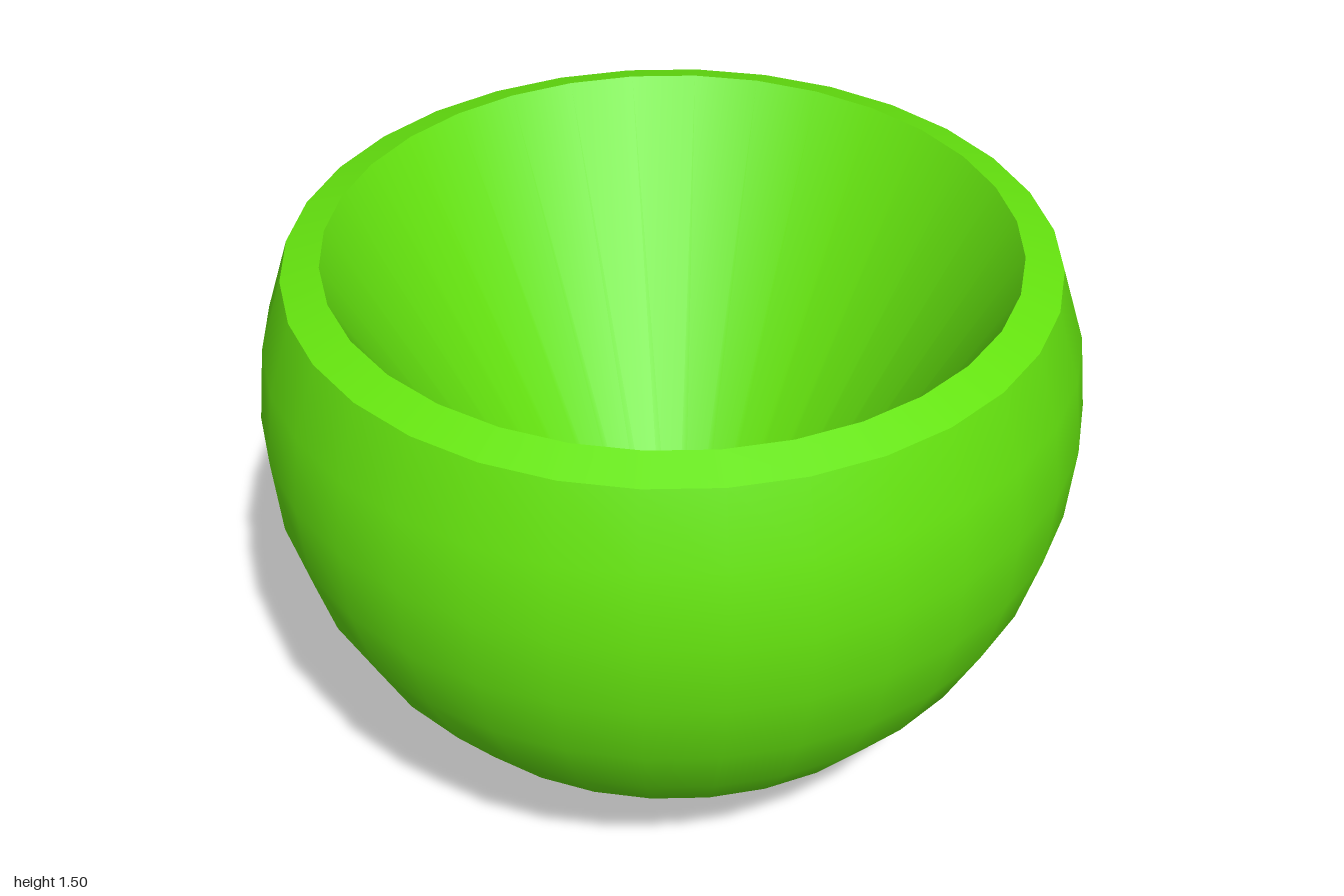
import * as THREE from 'three';

const SEGMENTS = 32;
const CENTRE_Y = 1.08;

export function createModel() {
  const group = new THREE.Group();
  group.name = 'pointedCup';
  const material = new THREE.MeshStandardMaterial({ color: 0x66e60f });

  // Each part is its own lathe, so edges between parts stay sharp
  const addLathe = (name, points) => {
    const profile = points.map(([r, y]) => new THREE.Vector2(r, y));
    const mesh = new THREE.Mesh(new THREE.LatheGeometry(profile, SEGMENTS), material);
    mesh.name = name;
    group.add(mesh);
  };

  // Outer shell: unit sphere from the bottom pole to 22.5 degrees above the equator
  const shell = [];
  for (let i = 0; i <= 10; i++) {
    const a = -Math.PI / 2 + (i * Math.PI) / 16;
    shell.push([Math.max(0, Math.cos(a)), CENTRE_Y + Math.sin(a)]);
  }
  addLathe('outerShell', shell);

  // Sloping rim
  addLathe('rim', [[shell[10][0], shell[10][1]], [0.83, 1.495]]);

  // Funnel-shaped hollow with a small flat floor
  addLathe('innerWall', [[0.83, 1.495], [0.11, 0.2]]);
  addLathe('innerFloor', [[0.11, 0.2], [0, 0.2]]);

  // Pointed tip under the shell
  addLathe('bottomTip', [[0, 0], [0.13, 0.103]]);

  return group;
}
